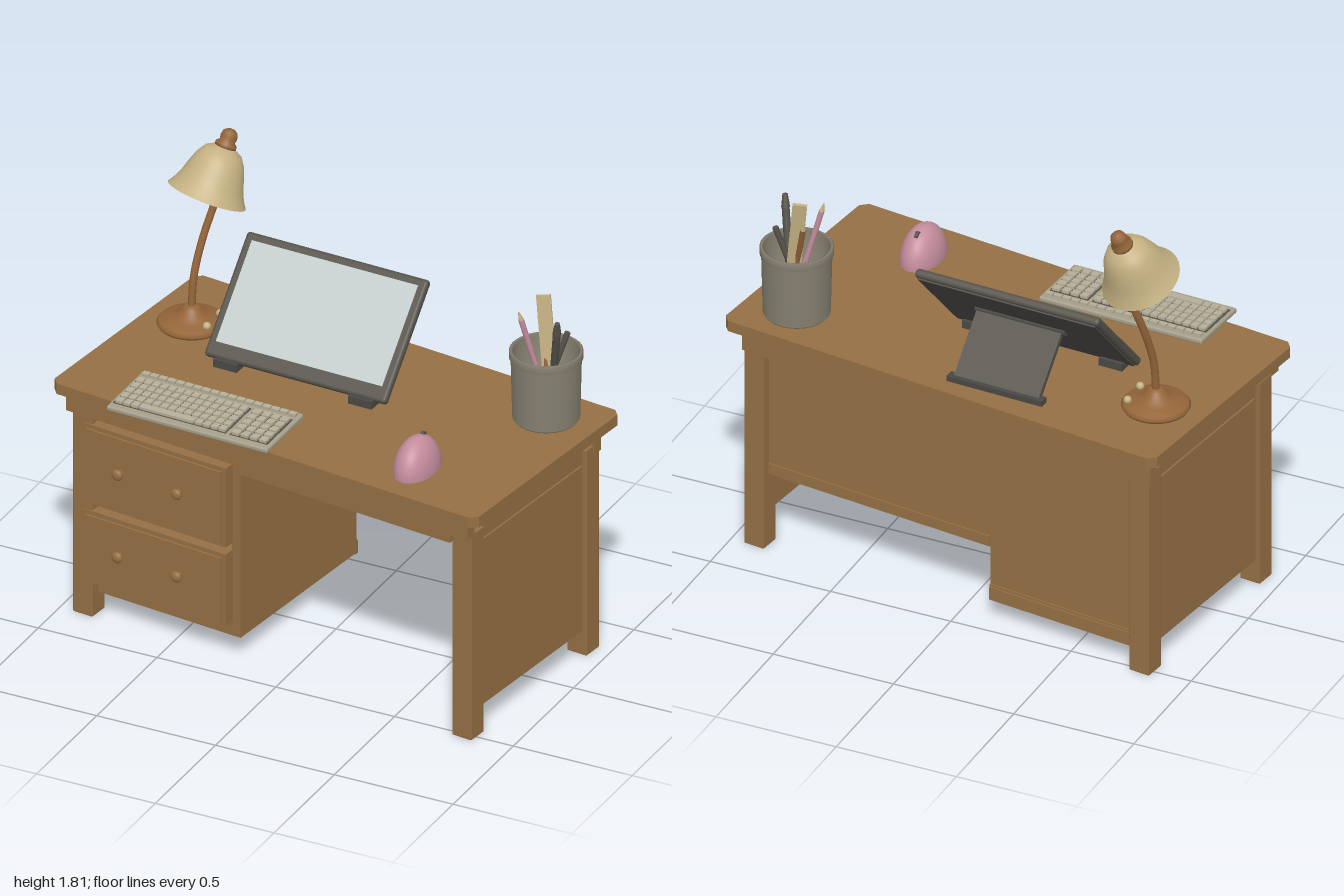
import * as THREE from 'three';
import { mergeGeometries } from 'three/addons/utils/BufferGeometryUtils.js';
import { RoundedBoxGeometry } from 'three/addons/geometries/RoundedBoxGeometry.js';

const mat = (name, color, side = THREE.FrontSide) => {
  const m = new THREE.MeshStandardMaterial({ color, side });
  m.name = name;
  return m;
};
const M = {
  wood: mat('desk wood', 0x946f44),
  lampWood: mat('lamp wood', 0x946539),
  shade: mat('cream', 0xc4b182, THREE.DoubleSide),
  screen: mat('screen glass', 0xc2cccb),
  frame: mat('dark frame', 0x55524a),
  stand: mat('charcoal', 0x4a4844),
  cup: mat('stone grey', 0x858070, THREE.DoubleSide),
  pink: mat('pink', 0xc48c9c),
  board: mat('keyboard body', 0xa59f8a),
  keys: mat('key caps', 0xb5ae98),
};

function add(parent, name, geo, material, x = 0, y = 0, z = 0) {
  const mesh = new THREE.Mesh(geo, material);
  mesh.name = name;
  mesh.position.set(x, y, z);
  parent.add(mesh);
  return mesh;
}

// box from its limits on each axis
function box(parent, name, material, x0, x1, y0, y1, z0, z1) {
  return add(parent, name, new THREE.BoxGeometry(x1 - x0, y1 - y0, z1 - z0), material,
    (x0 + x1) / 2, (y0 + y1) / 2, (z0 + z1) / 2);
}

// cylinder running between two points
function rod(parent, name, material, a, b, r0, r1 = r0, sides = 12) {
  const p = new THREE.Vector3(...a), q = new THREE.Vector3(...b);
  const dir = q.clone().sub(p);
  const mid = p.clone().add(q).multiplyScalar(0.5);
  const mesh = add(parent, name, new THREE.CylinderGeometry(r1, r0, dir.length(), sides), material, mid.x, mid.y, mid.z);
  mesh.quaternion.setFromUnitVectors(new THREE.Vector3(0, 1, 0), dir.normalize());
  return mesh;
}

const lathe = (pts, n = 40) => new THREE.LatheGeometry(pts.map(p => new THREE.Vector2(...p)), n);

function buildDesk() {
  const g = new THREE.Group();
  g.name = 'desk';
  const W = M.wood;

  // table top with clipped corners
  const a = 0.957, b = 0.497, c = 0.028;
  const outline = new THREE.Shape([[-a + c, -b], [a - c, -b], [a, -b + c], [a, b - c], [a - c, b], [-a + c, b], [-a, b - c], [-a, -b + c]]
    .map(p => new THREE.Vector2(...p)));
  const topGeo = new THREE.ExtrudeGeometry(outline, { depth: 0.045, bevelEnabled: false });
  topGeo.rotateX(-Math.PI / 2);
  add(g, 'tableTop', topGeo, W, 0, 0.955, 0);

  // rails under the top, front and back
  box(g, 'frontRail', W, -0.905, 0.905, 0.88, 0.955, 0.42, 0.47);
  box(g, 'backRail', W, -0.905, 0.905, 0.85, 0.955, -0.437, -0.39);

  // legs and side panels
  for (const s of [-1, 1]) {
    for (const t of [-1, 1]) add(g, 'leg', new RoundedBoxGeometry(0.088, 0.885, 0.088, 1, 0.005), W, s * 0.855, 0.4425, t * 0.39);
    add(g, 'sidePanel', new THREE.BoxGeometry(0.03, 0.775, 0.7), W, s * 0.865, 0.4975, 0);
    add(g, 'sidePanelField', new THREE.BoxGeometry(0.008, 0.71, 0.67), W, s * 0.883, 0.465, 0);
  }

  // drawer cabinet on one side
  box(g, 'cabinetSide', W, -0.21, -0.171, 0.09, 0.885, -0.39, 0.39);
  box(g, 'cabinetBottom', W, -0.85, -0.171, 0.09, 0.15, -0.40, 0.39);
  box(g, 'cabinetBack', W, -0.85, -0.171, 0.13, 0.86, -0.395, -0.375);
  box(g, 'cabinetBackLip', W, -0.82, -0.171, 0.085, 0.14, -0.405, -0.39);
  for (const [y0, y1, ky] of [[0.49, 0.83, 0.67], [0.15, 0.46, 0.315]]) {
    box(g, 'drawerFront', W, -0.85, -0.206, y0, y1, 0.385, 0.438);
    box(g, 'drawerFrontField', W, -0.833, -0.223, y0 + 0.018, y1 - 0.018, 0.438, 0.446);
    for (const x of [-0.676, -0.41]) {
      rod(g, 'knobStem', W, [x, ky, 0.44], [x, ky, 0.465], 0.011);
      const knob = add(g, 'knob', new THREE.SphereGeometry(0.023, 16, 10), W, x, ky, 0.468);
      knob.scale.z = 0.6;
    }
  }

  // centre drawer with a slim pull
  box(g, 'centreDrawerFront', W, -0.171, 0.78, 0.80, 0.88, 0.37, 0.40);
  box(g, 'centreDrawerBox', W, -0.15, 0.76, 0.82, 0.875, -0.05, 0.37);
  box(g, 'centreDrawerPull', W, 0.225, 0.385, 0.848, 0.863, 0.40, 0.418);

  // back panel of the knee space
  box(g, 'kneePanel', W, -0.171, 0.83, 0.315, 0.86, -0.395, -0.372);
  box(g, 'kneePanelLip', W, -0.171, 0.815, 0.315, 0.36, -0.40, -0.362);

  g.rotation.y = -0.118;
  return g;
}

function buildLamp() {
  const g = new THREE.Group();
  g.name = 'lamp';
  add(g, 'lampBase', lathe([[0, 0], [0.125, 0], [0.132, 0.012], [0.122, 0.025], [0.085, 0.035], [0.05, 0.05], [0.035, 0.075], [0.02, 0.085], [0, 0.085]]),
    M.lampWood, -0.735, 1, -0.25);
  for (const [x, z] of [[-0.645, -0.2], [-0.645, -0.31]]) add(g, 'lampButton', new THREE.SphereGeometry(0.016, 14, 8), M.shade, x, 1.04, z);
  const path = new THREE.CatmullRomCurve3([[-0.735, 1.06, -0.25], [-0.733, 1.2, -0.265], [-0.718, 1.34, -0.305], [-0.69, 1.48, -0.35], [-0.66, 1.6, -0.37], [-0.638, 1.74, -0.358]]
    .map(p => new THREE.Vector3(...p)));
  add(g, 'lampStem', new THREE.TubeGeometry(path, 30, 0.015, 10), M.lampWood);

  // tilted bell shade with a cap
  const head = new THREE.Group();
  head.name = 'lampHead';
  head.position.set(-0.68, 1.56, -0.268);
  head.quaternion.setFromUnitVectors(new THREE.Vector3(0, 1, 0), new THREE.Vector3(0.045, 0.22, -0.1).normalize());
  add(head, 'lampShade', lathe([[0.156, 0], [0.14, 0.025], [0.124, 0.06], [0.112, 0.1], [0.096, 0.145], [0.074, 0.18], [0.04, 0.2], [0.02, 0.203]]), M.shade);
  add(head, 'lampCap', lathe([[0, 0.19], [0.042, 0.195], [0.042, 0.212], [0.03, 0.222], [0.033, 0.24], [0.028, 0.26], [0.014, 0.27], [0, 0.271]], 20), M.lampWood);
  g.add(head);
  return g;
}

function buildDisplay() {
  const g = new THREE.Group();
  g.name = 'display';
  g.position.set(-0.175, 1, 0.005);
  g.rotation.y = -0.038;
  const slab = new THREE.Group();
  slab.name = 'displaySlab';
  slab.position.y = 0.035;
  slab.rotation.x = -0.75;
  add(slab, 'displayFrame', new RoundedBoxGeometry(0.78, 0.5, 0.036, 2, 0.014), M.frame, 0, 0.25, -0.018);
  box(slab, 'displayBack', M.stand, -0.375, 0.375, 0.015, 0.485, -0.042, -0.034);
  box(slab, 'displayGlass', M.screen, -0.357, 0.357, 0.06, 0.468, -0.002, 0.003);
  g.add(slab);
  for (const x of [-0.29, 0.29]) box(g, 'displayFoot', M.stand, x - 0.05, x + 0.05, 0, 0.032, -0.07, 0.012);

  // folding prop behind the display
  const prop = add(g, 'standPanel', new THREE.BoxGeometry(0.36, 0.295, 0.022), M.frame, 0.012, 0.11, -0.315);
  prop.rotation.x = 0.77;
  box(g, 'standFoot', M.stand, -0.19, 0.214, 0, 0.022, -0.435, -0.395);
  const hinge = rod(g, 'standHinge', M.stand, [-0.18, 0.21, -0.215], [0.2, 0.21, -0.215], 0.02);
  hinge.name = 'standHinge';
  return g;
}

function buildKeyboard() {
  const g = new THREE.Group();
  g.name = 'keyboard';
  g.position.set(-0.37, 1.018, 0.357);
  g.rotation.set(0.045, -0.035, 0);
  add(g, 'keyboardBody', new RoundedBoxGeometry(0.69, 0.022, 0.29, 2, 0.008), M.board);
  box(g, 'mainKeyBed', M.frame, -0.332, 0.152, 0.008, 0.0125, -0.085, 0.115);
  box(g, 'numberKeyBed', M.frame, 0.168, 0.33, 0.008, 0.0125, -0.085, 0.115);

  const caps = [];
  const key = (x, z, w, d = 0.03) => caps.push(new THREE.BoxGeometry(w, 0.014, d).translate(x, 0.016, z));
  for (let r = 0; r < 5; r++) {
    const z = -0.064 + r * 0.04;
    if (r < 4) for (let i = 0; i < 14; i++) key(-0.31 + i * 0.034, z, 0.027);
    for (let i = 0; i < 4; i++) key(0.19 + i * 0.039, z, 0.03);
  }
  for (const i of [0, 1, 2, 10, 11, 12, 13]) key(-0.31 + i * 0.034, 0.096, 0.027);
  key(-0.106, 0.096, 0.232);
  for (let i = 0; i < 18; i++) key(-0.315 + i * 0.037, -0.115, 0.03, 0.022);
  add(g, 'keyCaps', mergeGeometries(caps), M.keys);
  return g;
}

function buildMouse() {
  const g = new THREE.Group();
  g.name = 'mouse';
  g.position.set(0.52, 1.003, 0.352);
  const dome = new THREE.SphereGeometry(1, 36, 14, 0, Math.PI * 2, 0, Math.PI / 2);
  add(g, 'mouseBody', dome, M.pink).scale.set(0.08, 0.132, 0.125);
  const under = add(g, 'mouseBase', new THREE.CylinderGeometry(1, 1, 0.006, 36), M.pink);
  under.scale.set(0.08, 1, 0.125);
  const wheel = add(g, 'mouseWheel', new THREE.CylinderGeometry(0.016, 0.016, 0.014, 16), M.frame, 0, 0.115, -0.05);
  wheel.rotation.z = Math.PI / 2;
  return g;
}

function buildPenPot() {
  const g = new THREE.Group();
  g.name = 'penPot';
  g.position.set(0.776, 1, -0.215);
  add(g, 'pot', lathe([[0, 0], [0.122, 0], [0.128, 0.008], [0.134, 0.255], [0.14, 0.262], [0.14, 0.29], [0.134, 0.295], [0.124, 0.29], [0.118, 0.025], [0, 0.025]]), M.cup);
  // writing tools leaning inside
  rod(g, 'darkPen', M.frame, [0.0, 0.03, -0.04], [0.075, 0.41, 0.06], 0.015);
  rod(g, 'darkPenCap', M.frame, [0.075, 0.41, 0.06], [0.083, 0.46, 0.072], 0.017, 0.01);
  rod(g, 'pinkPencil', M.pink, [0.02, 0.03, 0.0], [-0.075, 0.43, 0.06], 0.011, 0.011, 6);
  rod(g, 'pencilTip', M.shade, [-0.075, 0.43, 0.06], [-0.083, 0.465, 0.065], 0.011, 0.002, 6);
  rod(g, 'brownPencil', M.lampWood, [0.04, 0.03, 0.03], [-0.05, 0.4, -0.05], 0.011, 0.011, 6);
  rod(g, 'pencilTip', M.shade, [-0.05, 0.4, -0.05], [-0.058, 0.435, -0.058], 0.011, 0.002, 6);
  rod(g, 'darkPen', M.frame, [-0.03, 0.03, 0.02], [0.075, 0.37, -0.03], 0.012);
  const ruler = add(g, 'ruler', new THREE.BoxGeometry(0.055, 0.475, 0.014), M.shade, -0.002, 0.265, -0.02);
  ruler.rotation.set(-0.12, 0.35, 0.13);
  return g;
}

export function createModel() {
  const model = new THREE.Group();
  model.name = 'deskWorkspace';
  model.add(buildDesk(), buildLamp(), buildDisplay(), buildKeyboard(), buildMouse(), buildPenPot());
  return model;
}
